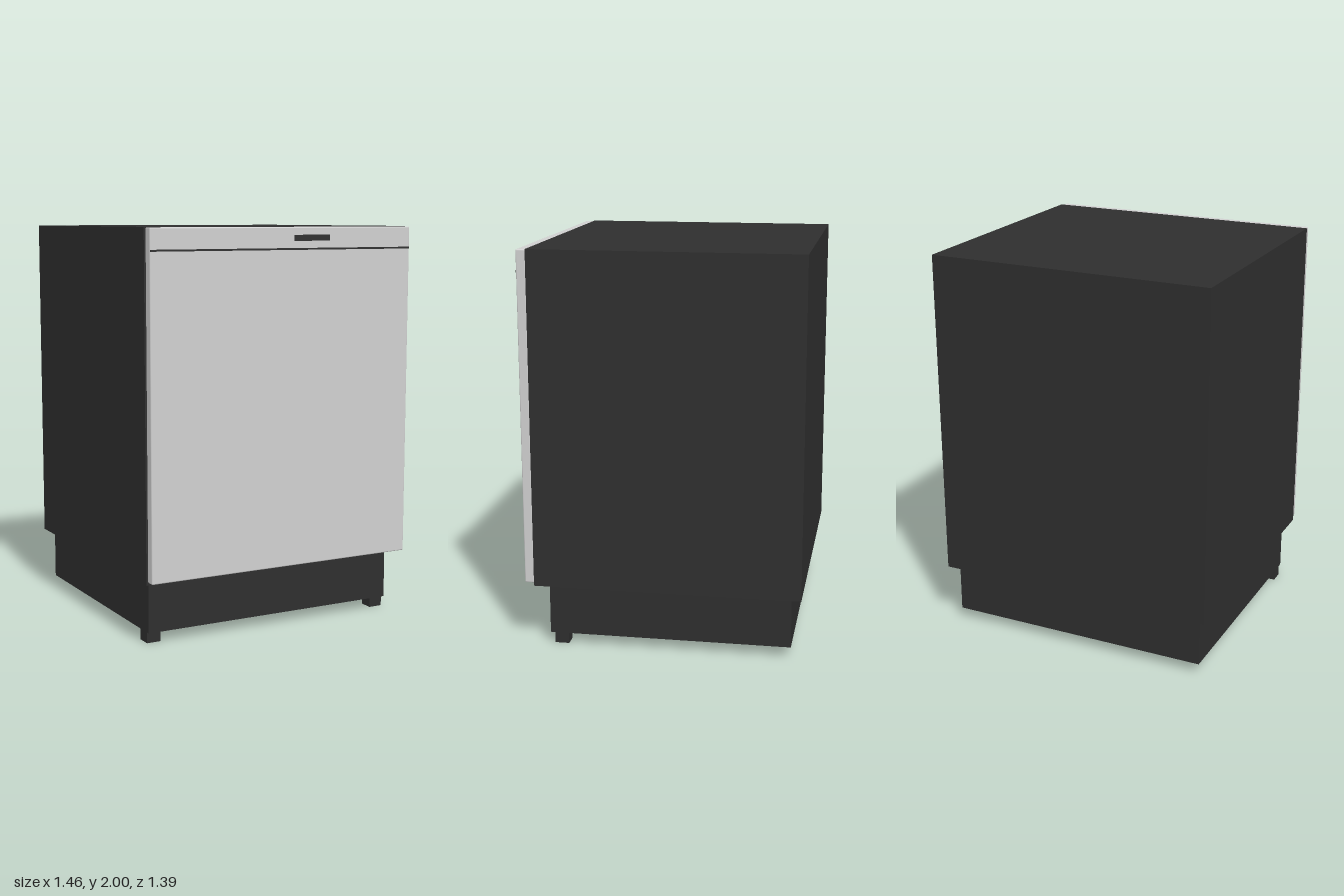
import * as THREE from 'three';
import { RoundedBoxGeometry } from 'three/addons/geometries/RoundedBoxGeometry.js';

export function createModel() {
  const model = new THREE.Group();
  model.name = 'dishwasher';

  const charcoal = new THREE.MeshStandardMaterial({ name: 'charcoal', color: 0x2e2e2e });
  const steel = new THREE.MeshStandardMaterial({ name: 'steel', color: 0xd0d0d0 });

  // Adds a box given by its [min, max] extents on each axis
  function box(name, material, [x0, x1], [y0, y1], [z0, z1], radius = 0) {
    const size = [x1 - x0, y1 - y0, z1 - z0];
    const geometry = radius
      ? new RoundedBoxGeometry(...size, 2, radius)
      : new THREE.BoxGeometry(...size);
    const mesh = new THREE.Mesh(geometry, material);
    mesh.name = name;
    mesh.position.set((x0 + x1) / 2, (y0 + y1) / 2, (z0 + z1) / 2);
    model.add(mesh);
  }

  // Cabinet and recessed plinth
  box('cabinet', charcoal, [-0.73, 0.73], [0.315, 2], [-0.695, 0.645]);
  box('plinth', charcoal, [-0.688, 0.688], [0.055, 0.315], [-0.645, 0.575]);

  // Door panel with softened edges
  box('door', steel, [-0.723, 0.723], [0.328, 1.998], [0.645, 0.693], 0.006);

  // Thin details on the door face
  box('controlSeam', charcoal, [-0.72, 0.72], [1.888, 1.897], [0.69, 0.695]);
  box('controlDisplay', charcoal, [0.045, 0.245], [1.931, 1.96], [0.69, 0.697]);

  // Front feet
  for (const side of [-1, 1]) {
    const x = side * 0.651;
    box(side > 0 ? 'leftFoot' : 'rightFoot', charcoal,
      [x - 0.036, x + 0.036], [0, 0.055], [0.481, 0.553]);
  }

  return model;
}
